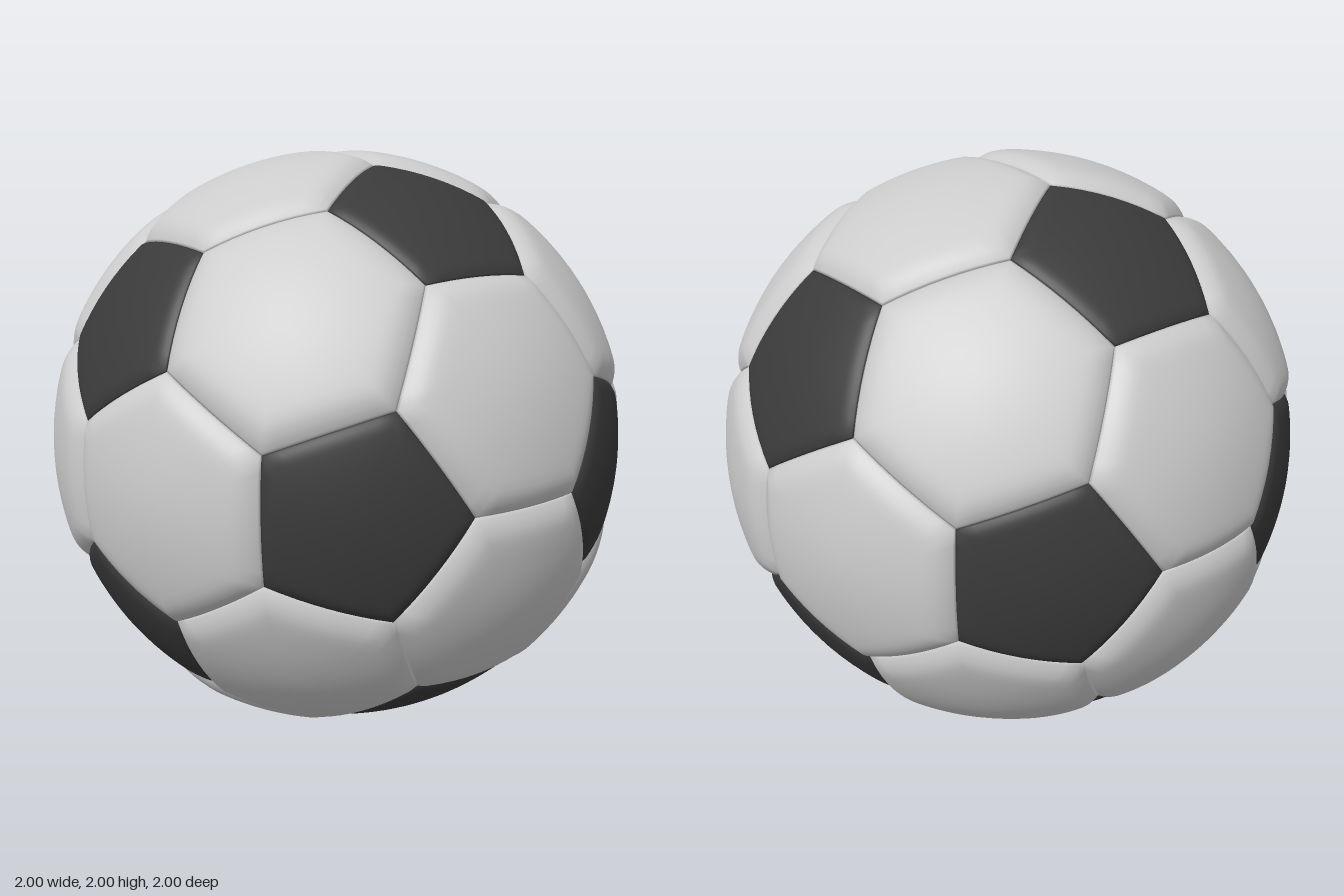
import * as THREE from 'three';

const PHI = (1 + Math.sqrt(5)) / 2;
const SEGMENTS = 8; // divisions along each panel side
const RINGS = [0.15, 0.3, 0.45, 0.6, 0.7, 0.77, 0.82, 0.86, 0.9, 0.93, 0.96, 0.98, 1];

// All sign changes and cyclic permutations of (0, a, b)
function cyclicPoints(a, b) {
  const points = [];
  for (const s of [-1, 1]) for (const t of [-1, 1]) {
    points.push(
      new THREE.Vector3(0, s * a, t * b),
      new THREE.Vector3(t * b, 0, s * a),
      new THREE.Vector3(s * a, t * b, 0));
  }
  return points;
}

// The 60 seam corners: each icosahedron edge cut at its thirds
function seamCorners(ico) {
  const corners = [];
  for (const a of ico) for (const b of ico) {
    if (Math.abs(a.distanceTo(b) - 2) < 0.01) corners.push(a.clone().lerp(b, 1 / 3).normalize());
  }
  return corners;
}

// The panel's own corners, sorted counter-clockwise seen from outside
function panelCorners(axis, sides, corners) {
  const u = new THREE.Vector3(axis.y, axis.z, axis.x).cross(axis);
  if (u.length() < 0.01) u.set(1, 0, 0).cross(axis);
  u.normalize();
  const v = axis.clone().cross(u);
  const angle = (p) => Math.atan2(p.dot(v), p.dot(u));
  return [...corners]
    .sort((a, b) => b.dot(axis) - a.dot(axis))
    .slice(0, sides)
    .sort((a, b) => angle(a) - angle(b));
}

// Spherical cushion: concentric rings, the rim rounding down into the seam
function panelGeometry(axis, corners, { radius, drop, rim }) {
  const sides = corners.length;
  const count = sides * SEGMENTS;
  const flatCentre = corners.reduce((sum, c) => sum.add(c), new THREE.Vector3()).divideScalar(sides);
  const inradius = corners[0].clone().lerp(corners[1], 0.5).distanceTo(flatCentre);
  const positions = [...axis.clone().multiplyScalar(radius).toArray()];
  const indices = [];

  const addRing = (s, r) => {
    for (let i = 0; i < count; i++) {
      const k = Math.floor(i / SEGMENTS);
      const p = corners[k].clone().lerp(corners[(k + 1) % sides], (i % SEGMENTS) / SEGMENTS);
      p.lerpVectors(flatCentre, p, s).normalize().multiplyScalar(r);
      positions.push(p.x, p.y, p.z);
    }
  };
  for (const s of RINGS) {
    const u = Math.max(0, 1 - ((1 - s) * inradius) / rim);
    addRing(s, radius - drop * Math.pow(u, 2.3));
  }
  addRing(1, 0.93); // seam wall

  for (let i = 0; i < count; i++) {
    const j = (i + 1) % count;
    indices.push(0, 1 + i, 1 + j);
    for (let ring = 0; ring < RINGS.length; ring++) {
      const a = 1 + ring * count, b = a + count;
      indices.push(a + i, b + i, b + j, a + i, b + j, a + j);
    }
  }
  const geometry = new THREE.BufferGeometry();
  geometry.setAttribute('position', new THREE.Float32BufferAttribute(positions, 3));
  geometry.setIndex(indices);
  geometry.computeVertexNormals();
  return geometry;
}

export function createModel() {
  const ball = new THREE.Group();
  ball.name = 'ball';
  ball.position.y = 1;

  const ico = cyclicPoints(1, PHI);
  const corners = seamCorners(ico);
  const hexAxes = cyclicPoints(PHI, 1 / PHI);
  for (const x of [-1, 1]) for (const y of [-1, 1]) for (const z of [-1, 1]) {
    hexAxes.push(new THREE.Vector3(x, y, z));
  }

  const addPanels = (name, axes, sides, color, shape) => {
    const group = new THREE.Group();
    group.name = name + 's';
    const material = new THREE.MeshStandardMaterial({ color });
    axes.forEach((direction, i) => {
      const axis = direction.clone().normalize();
      const mesh = new THREE.Mesh(panelGeometry(axis, panelCorners(axis, sides, corners), shape), material);
      mesh.name = name + (i + 1);
      group.add(mesh);
    });
    ball.add(group);
  };

  // Twenty pale hexagons and twelve slightly lower dark pentagons
  addPanels('hexagonPanel', hexAxes, 6, 0xcccccc, { radius: 1.003, drop: 0.03, rim: 0.1 });
  addPanels('pentagonPanel', ico, 5, 0x3a3a3a, { radius: 0.985, drop: 0.012, rim: 0.05 });

  const model = new THREE.Group();
  model.name = 'soccerBall';
  model.add(ball);
  return model;
}
